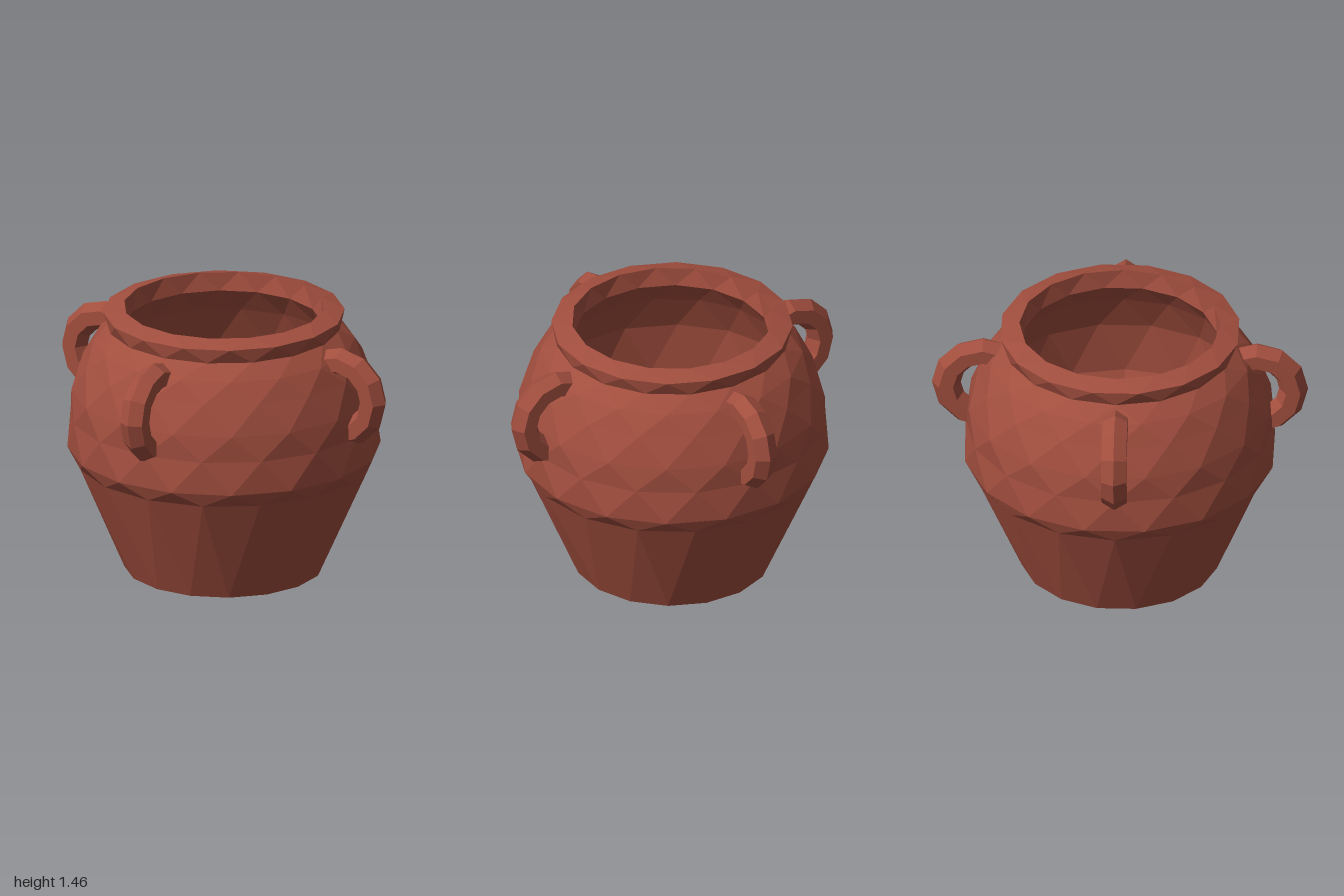
import * as THREE from 'three';

const SIDES = 16;

// Stack of faceted rings; each ring is [y, radius], every other one turned by half a side.
function facetedShell(profile, startOffset = 0) {
  const positions = [];
  const point = (k, i) => {
    const [y, r] = profile[k];
    const a = ((i + ((k + startOffset) % 2) * 0.5) / SIDES) * Math.PI * 2;
    return [Math.sin(a) * r, y, Math.cos(a) * r];
  };
  for (let k = 0; k < profile.length - 1; k++) {
    const turned = (k + startOffset) % 2;
    for (let i = 0; i < SIDES; i++) {
      const a = point(k, i), b = point(k, i + 1);
      const c = point(k + 1, i), d = point(k + 1, i + 1);
      if (profile[k][1] > 0) positions.push(...a, ...b, ...(turned ? d : c));
      if (profile[k + 1][1] > 0) positions.push(...(turned ? a : b), ...d, ...c);
    }
  }
  const geometry = new THREE.BufferGeometry();
  geometry.setAttribute('position', new THREE.Float32BufferAttribute(positions, 3));
  geometry.computeVertexNormals();
  return geometry;
}

export function createModel() {
  const clay = new THREE.MeshStandardMaterial({ color: 0xa14e3e, flatShading: true });
  clay.name = 'terracotta';
  const pot = new THREE.Group();
  pot.name = 'pot';

  const add = (parent, name, geometry) => {
    const mesh = new THREE.Mesh(geometry, clay);
    mesh.name = name;
    parent.add(mesh);
    return mesh;
  };

  // Outer wall, from the base centre up to the shoulder
  add(pot, 'body', facetedShell([
    [0, 0], [0, 0.53], [0.6, 0.785], [0.68, 0.833], [0.86, 0.822],
    [1.0, 0.812], [1.16, 0.755], [1.27, 0.695], [1.35, 0.61],
  ]));

  // Flared rim with a sloping top
  add(pot, 'rim', facetedShell([
    [1.35, 0.6], [1.35, 0.62], [1.43, 0.642], [1.46, 0.535], [1.36, 0.52],
  ], 1));

  // Inner wall, from the neck down to the floor
  add(pot, 'interior', facetedShell([
    [1.36, 0.52], [1.22, 0.62], [1.0, 0.72], [0.7, 0.74], [0.05, 0.46], [0.05, 0],
  ], 1));

  // Four hexagonal ring handles, their ends sunk in the wall
  const start = -Math.PI / 2, arc = (7 * Math.PI) / 6;
  const handleGeometry = new THREE.TorusGeometry(0.195, 0.077, 6, 7, arc);
  for (let i = 0; i < 4; i++) {
    const handle = new THREE.Group();
    handle.name = 'handle' + (i + 1);
    handle.rotation.y = (i * Math.PI) / 2;
    const loop = add(handle, 'handleLoop', handleGeometry);
    loop.position.set(0.728, 1.08, 0);
    loop.rotation.z = start;
    pot.add(handle);
  }
  return pot;
}
